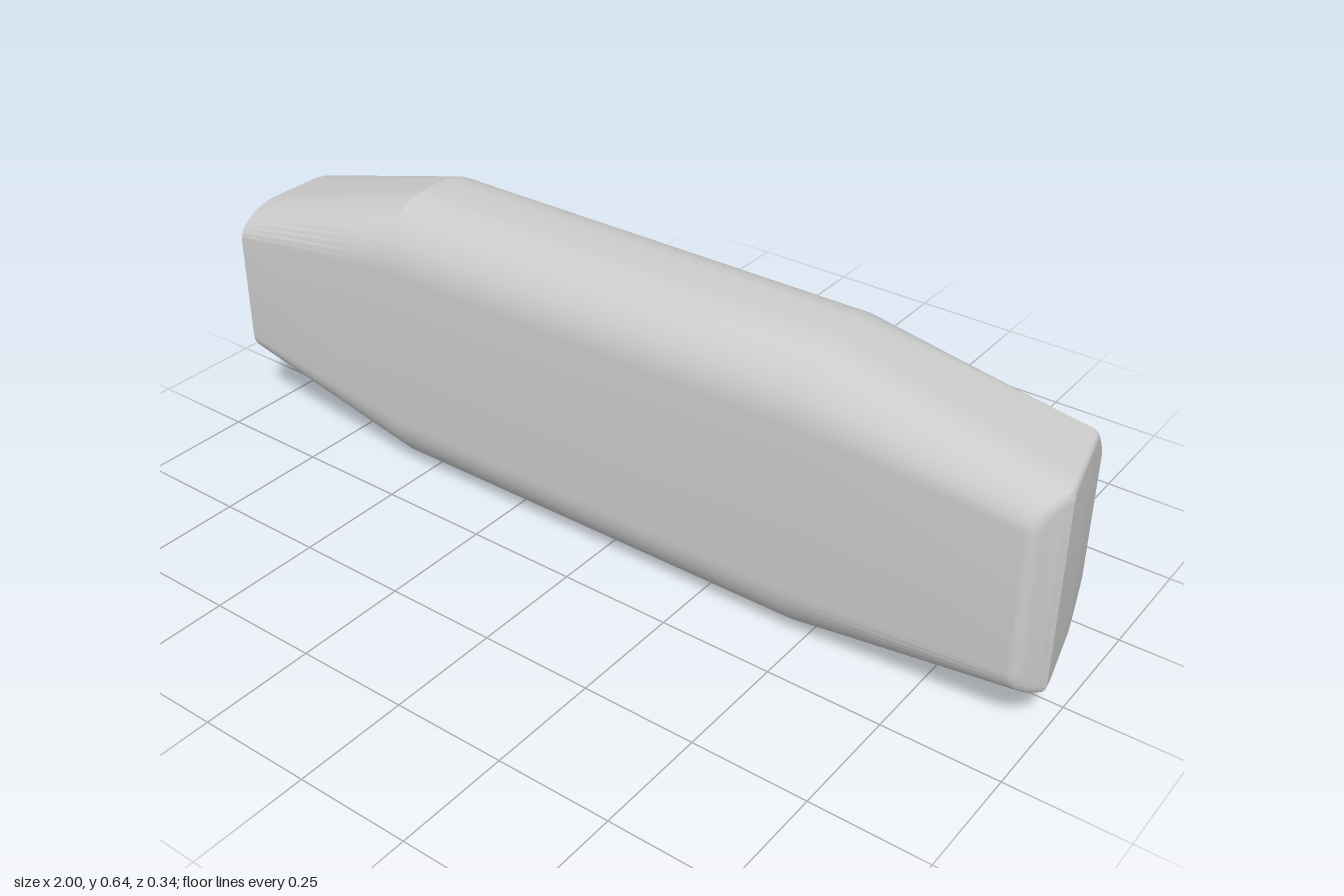
import * as THREE from 'three';
import { toCreasedNormals } from 'three/addons/utils/BufferGeometryUtils.js';

const MID_Y = 0.3225, HALF_Z = 0.171, ARC = 12, EDGE = 0.016, EDGE_STEPS = 9;

// Slanted +x end with a bevel along its front edge
const endX = z => (z < 0.1 ? 1 - 0.235 * (0.1 - z) : 1 - 0.5 * (z - 0.1));

// One closed ring: rounded rectangle, front and back corners sized separately.
// "straight" turns the back corner from a round into a chamfer.
function ring({ xAt, halfY, corner, frontZ, backZ, straight = 0, inset = 0 }) {
  const top = [];
  const hz = HALF_Z - inset, hy = halfY - inset;
  for (const side of [1, -1]) {
    const cz = side > 0 ? frontZ : backZ;
    const chamfer = side > 0 ? 0 : straight;
    for (let i = 0; i <= ARC; i++) {
      const t = side > 0 ? i / ARC : 1 - i / ARC;
      const a = t * Math.PI / 2;
      const u = THREE.MathUtils.lerp(Math.cos(a), 1 - t, chamfer);
      const v = THREE.MathUtils.lerp(Math.sin(a), t, chamfer);
      top.push([side * (hz - cz + cz * u), hy - corner + corner * v]);
    }
  }
  const bottom = top.map(([z, y]) => [z, -y]).reverse();
  return [...top, ...bottom].map(([z, y]) => [xAt(z), MID_Y + y, z]);
}

// Skin over the rings, with a cap at both ends
function loft(rings) {
  const n = rings[0].length, index = [];
  for (let k = 0; k < rings.length - 1; k++) {
    for (let i = 0; i < n; i++) {
      const j = (i + 1) % n;
      const a = k * n + i, b = a + n, c = k * n + j, d = c + n;
      index.push(a, b, c, b, d, c);
    }
  }
  const last = (rings.length - 1) * n;
  for (let t = 0; t < n / 2 - 1; t++) {
    const p = t, q = n - 1 - t, r = n - 2 - t, s = t + 1;
    index.push(last + p, last + q, last + r, last + p, last + r, last + s);
    index.push(p, r, q, p, s, r);
  }
  const geometry = new THREE.BufferGeometry();
  geometry.setAttribute('position', new THREE.Float32BufferAttribute(rings.flat(2), 3));
  geometry.setIndex(index);
  return toCreasedNormals(geometry, 0.2);
}

export function createModel() {
  const middle = { halfY: 0.3225, corner: 0.14, frontZ: 0.14, backZ: 0.14 };
  const rings = [
    // narrow flat end
    ring({ xAt: () => -1, halfY: 0.192, corner: 0.07, frontZ: 0.12, backZ: 0.12 }),
    // full-height middle
    ring({ xAt: () => -0.55, ...middle }),
    ring({ xAt: () => 0.47, ...middle }),
  ];
  // slanted end with softly rounded edges
  for (let i = 0; i <= EDGE_STEPS; i++) {
    const a = i / EDGE_STEPS * Math.PI / 2;
    rings.push(ring({
      xAt: z => endX(z) - EDGE * (1 - Math.sin(a)),
      halfY: 0.228, corner: 0.075, frontZ: 0.11, backZ: 0.075, straight: 0.8,
      inset: EDGE * (1 - Math.cos(a)),
    }));
  }

  const body = new THREE.Mesh(loft(rings), new THREE.MeshStandardMaterial({ color: 0xcccccc }));
  body.name = 'taperedBody';
  const group = new THREE.Group();
  group.name = 'taperedBlock';
  group.add(body);
  return group;
}
